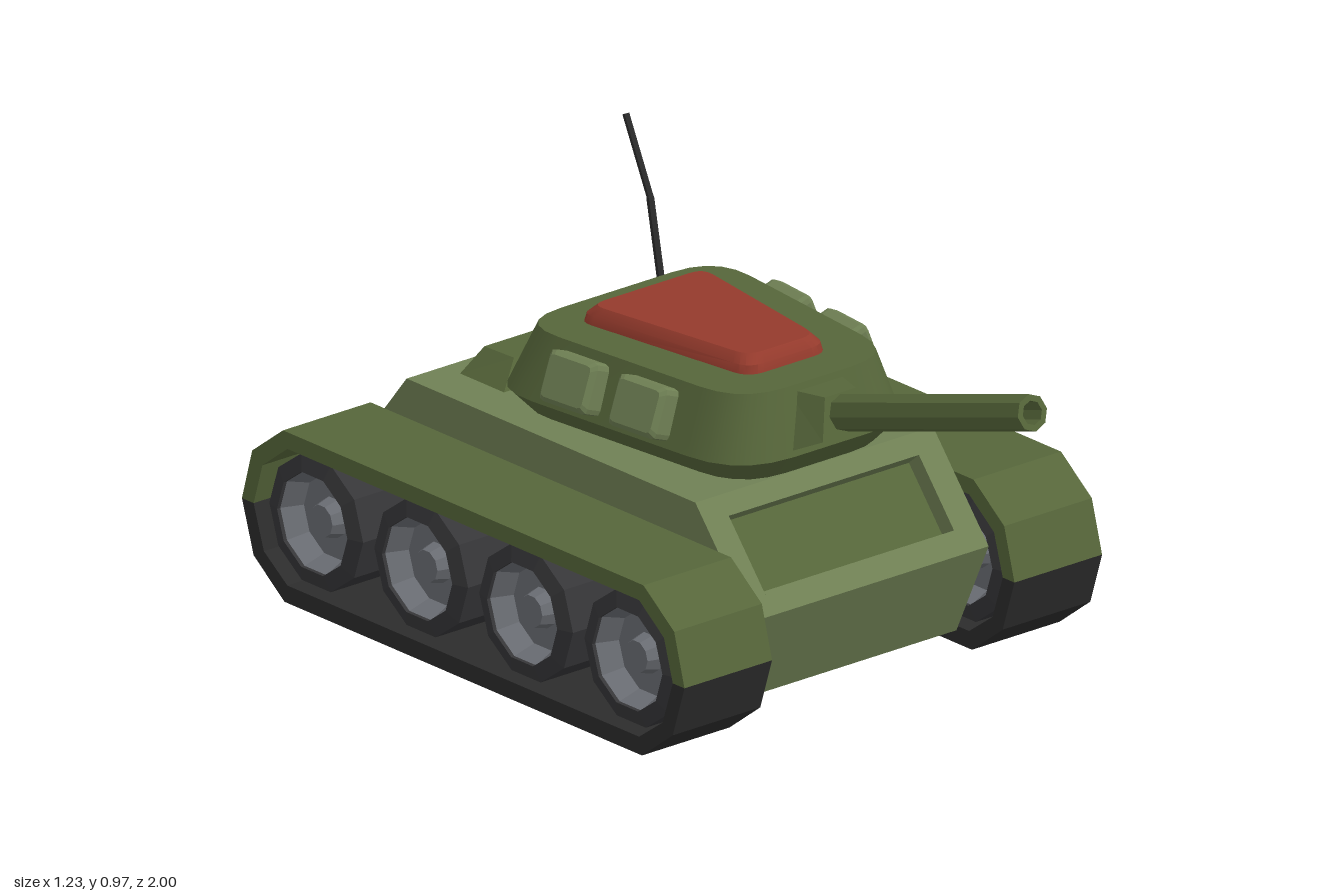
import * as THREE from 'three';
import { toCreasedNormals } from 'three/addons/utils/BufferGeometryUtils.js';

const paint = (color, flatShading = true) => new THREE.MeshStandardMaterial({ color, flatShading });
const green = paint(0x56663a), smoothGreen = paint(0x56663a, false), paleGreen = paint(0x6f8054);
const red = paint(0x943a2c, false), black = paint(0x2c2c2c), rubber = paint(0x363638), steel = paint(0x6a6d73);

function add(parent, name, geometry, material) {
  const mesh = new THREE.Mesh(geometry, material);
  mesh.name = name;
  parent.add(mesh);
  return mesh;
}

// Side profile of [z, y] points, extruded from x0 to x1
function prism(points, x0, x1) {
  const shape = new THREE.Shape(points.map(([z, y]) => new THREE.Vector2(-z, y)));
  const geo = new THREE.ExtrudeGeometry(shape, { depth: x1 - x0, bevelEnabled: false });
  return geo.rotateY(Math.PI / 2).translate(x0, 0, 0);
}

// Level trapezoid section: half width wb at zBack, wf at zFront, corners rounded by r
function section(y, zBack, wb, zFront, wf, r = 0, steps = 5) {
  const c = [[wf, zFront], [wb, zBack], [-wb, zBack], [-wf, zFront]].map(([x, z]) => new THREE.Vector3(x, y, z));
  if (!r) return c;
  return c.flatMap((p, i) => {
    const toward = q => p.clone().add(q.clone().sub(p).setLength(r));
    return new THREE.QuadraticBezierCurve3(toward(c[(i + 3) % 4]), p, toward(c[(i + 1) % 4])).getPoints(steps);
  });
}

// Capped skin over sections listed from bottom to top
function loft(rings, crease = 0.6) {
  const pts = [], n = rings[0].length;
  const middle = ring => ring.reduce((m, p) => m.add(p), new THREE.Vector3()).divideScalar(n);
  const last = rings[rings.length - 1], low = middle(rings[0]), high = middle(last);
  for (let i = 0; i < n; i++) {
    const j = (i + 1) % n;
    for (let k = 0; k + 1 < rings.length; k++) {
      const a = rings[k], b = rings[k + 1];
      pts.push(a[i], a[j], b[j], a[i], b[j], b[i]);
    }
    pts.push(low, rings[0][j], rings[0][i], high, last[i], last[j]);
  }
  return toCreasedNormals(new THREE.BufferGeometry().setFromPoints(pts), crease);
}

const lathe = (points, sides) =>
  new THREE.LatheGeometry(points.map(([r, y]) => new THREE.Vector2(r, y)), sides);

function rod(from, to, radius) {
  const d = to.clone().sub(from);
  const geo = new THREE.CylinderGeometry(radius, radius, d.length(), 6);
  geo.applyQuaternion(new THREE.Quaternion().setFromUnitVectors(new THREE.Vector3(0, 1, 0), d.normalize()));
  const m = from.clone().add(to).multiplyScalar(0.5);
  return geo.translate(m.x, m.y, m.z);
}

function buildHull() {
  const hull = new THREE.Group();
  hull.name = 'hull';
  const rest = [[0.24, 0.5], [-0.745, 0.5], [-0.93, 0.27], [-0.82, 0.035], [0.32, 0.035], [0.43, 0.27]];
  // The middle slice has a notch that forms the sunken front panel
  const notch = [[0.393, 0.315], [0.354, 0.283], [0.235, 0.428], [0.273, 0.46]];
  for (const s of [-1, 1])
    add(hull, 'hullSide', prism(rest, s > 0 ? 0.28 : -0.35, s > 0 ? 0.35 : -0.28), paleGreen);
  add(hull, 'hullMiddle', prism([...rest, ...notch], -0.28, 0.28), paleGreen);
  add(hull, 'frontPanel', prism([[0.354, 0.283], [0.358, 0.286], [0.239, 0.431], [0.235, 0.428]], -0.28, 0.28), green);
  // Raised covers on the rear slope and the rear deck
  add(hull, 'rearVent', prism([[-0.81, 0.415], [-0.845, 0.446], [-0.905, 0.373], [-0.87, 0.343]], -0.2, 0.2), green);
  add(hull, 'engineCover', loft([section(0.5, -0.69, 0.24, -0.54, 0.24), section(0.56, -0.665, 0.19, -0.57, 0.185)]), green);
  // Kinked antenna
  const a = [[0.5, -0.61], [0.79, -0.667], [0.965, -0.75]].map(([y, z]) => new THREE.Vector3(0.3, y, z));
  add(hull, 'antennaLower', rod(a[0], a[1], 0.009), black);
  add(hull, 'antennaUpper', rod(a[1], a[2], 0.008), black);
  return hull;
}

function buildTrack(side) {
  const track = new THREE.Group();
  track.name = side > 0 ? 'leftTrack' : 'rightTrack';
  const x0 = side > 0 ? 0.357 : -0.615, x1 = x0 + 0.258;
  // Hollow band: fender above, tread below
  add(track, 'fender', prism([
    [0.51, 0.205], [0.475, 0.33], [0.37, 0.41], [-0.86, 0.41], [-0.965, 0.33], [-1, 0.205],
    [-0.96, 0.205], [-0.93, 0.305], [-0.845, 0.37], [0.355, 0.37], [0.44, 0.305], [0.47, 0.205]], x0, x1), green);
  add(track, 'tread', prism([
    [0.51, 0.205], [0.47, 0.205], [0.435, 0.1], [0.355, 0.042], [-0.845, 0.042], [-0.925, 0.1], [-0.96, 0.205],
    [-1, 0.205], [-0.96, 0.08], [-0.855, 0], [0.365, 0], [0.47, 0.08]], x0, x1), black);
  // Four ten-sided road wheels with dished discs
  const tyre = lathe([[0.12, -0.112], [0.16, -0.1], [0.16, 0.1], [0.12, 0.112], [0.12, -0.112]], 10);
  const disc = lathe([[0, -0.085], [0.038, -0.085], [0.048, -0.05], [0.1, -0.05], [0.121, -0.105],
    [0.121, 0.105], [0.1, 0.05], [0.048, 0.05], [0.038, 0.085], [0, 0.085]], 10);
  for (const z of [0.295, -0.064, -0.422, -0.78]) {
    const wheel = new THREE.Group();
    wheel.name = 'roadWheel';
    add(wheel, 'tyre', tyre, rubber);
    add(wheel, 'disc', disc, steel);
    wheel.rotation.z = -Math.PI / 2;
    wheel.position.set(side * 0.486, 0.205, z);
    track.add(wheel);
  }
  return track;
}

function buildTurret() {
  const turret = new THREE.Group();
  turret.name = 'turret';
  add(turret, 'turretRing', new THREE.CylinderGeometry(0.22, 0.22, 0.03, 20).translate(0, 0.505, -0.1), green);
  add(turret, 'turretBody', loft([
    section(0.51, -0.46, 0.295, 0.255, 0.225, 0.13),
    section(0.565, -0.495, 0.35, 0.3, 0.272, 0.16),
    section(0.715, -0.435, 0.295, 0.255, 0.225, 0.13)]), smoothGreen);
  add(turret, 'hatch', loft([
    section(0.71, -0.355, 0.188, 0.155, 0.12, 0.045),
    section(0.735, -0.35, 0.183, 0.15, 0.115, 0.045),
    section(0.755, -0.33, 0.165, 0.13, 0.098, 0.04)]), red);
  // Two bevelled boxes lean against each side
  const box = loft([
    section(-0.03, -0.073, 0.06, 0.073, 0.06, 0.015, 2),
    section(0.018, -0.073, 0.06, 0.073, 0.06, 0.015, 2),
    section(0.03, -0.062, 0.049, 0.062, 0.049, 0.012, 2)], 0.2);
  for (const s of [-1, 1])
    for (const [x, z] of [[0.32, -0.208], [0.3, 0.004]]) {
      const mesh = add(turret, 'sideBox', box, paleGreen);
      mesh.position.set(s * x, 0.645, z);
      mesh.rotation.set(0, -s * 0.1, -s * 1.2, 'YXZ');
    }
  // Raised gun: mantlet and hollow eight-sided barrel
  const gun = new THREE.Group();
  gun.name = 'gun';
  add(gun, 'mantlet', loft([
    section(-0.05, -0.074, 0.075, 0.064, 0.125),
    section(0.044, -0.046, 0.045, 0.05, 0.075)]), green);
  add(gun, 'barrel', lathe([[0, 0], [0.043, 0], [0.043, 0.715], [0.028, 0.715], [0.028, 0.6]], 8), green);
  add(gun, 'bore', new THREE.CylinderGeometry(0.029, 0.029, 0.01, 8).translate(0, 0.6, 0), black);
  gun.position.set(0, 0.643, 0.3);
  gun.rotation.x = Math.PI / 2 - 0.293;
  turret.add(gun);
  return turret;
}

export function createModel() {
  const tank = new THREE.Group();
  tank.name = 'tank';
  tank.add(buildHull(), buildTrack(1), buildTrack(-1), buildTurret());
  return tank;
}
